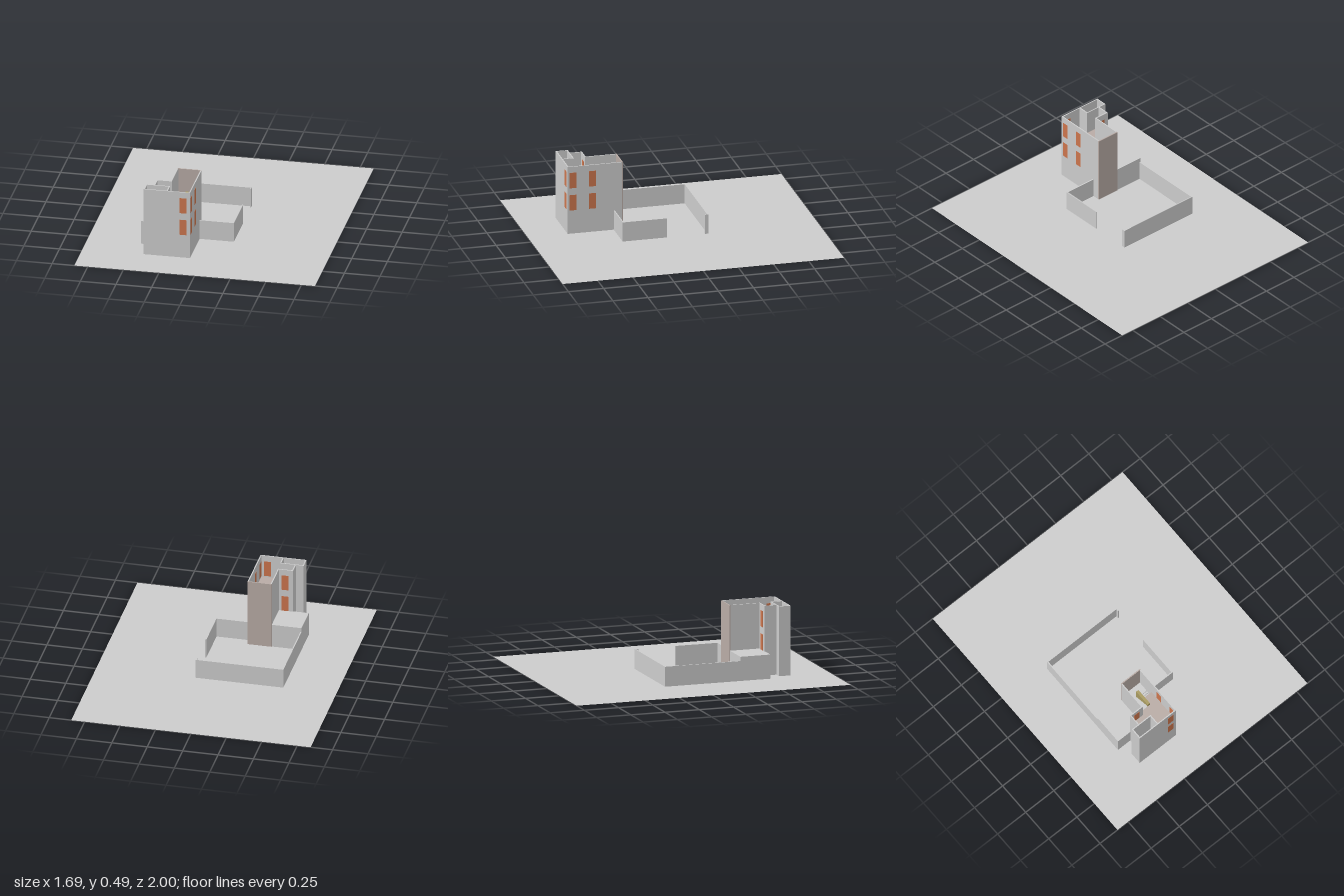
import * as THREE from 'three';

export function createModel() {
  const model = new THREE.Group();
  const grey = new THREE.MeshStandardMaterial({ color: 0xcccccc });
  const warm = new THREE.MeshStandardMaterial({ color: 0xb8aba5 });
  const orange = new THREE.MeshStandardMaterial({ color: 0xcc754d });
  const olive = new THREE.MeshStandardMaterial({ color: 0xa89a60 });

  // Box given by its limits on each axis
  const box = (parent, name, [x0, x1], [y0, y1], [z0, z1], material = grey) => {
    const mesh = new THREE.Mesh(new THREE.BoxGeometry(x1 - x0, y1 - y0, z1 - z0), material);
    mesh.position.set((x0 + x1) / 2, (y0 + y1) / 2, (z0 + z1) / 2);
    mesh.name = name;
    parent.add(mesh);
    return mesh;
  };
  const group = (name) => {
    const g = new THREE.Group();
    g.name = name;
    model.add(g);
    return g;
  };

  // Plot of land
  const ground = new THREE.Mesh(
    new THREE.PlaneGeometry(1.69, 2).rotateX(-Math.PI / 2),
    new THREE.MeshStandardMaterial({ color: 0xcccccc, side: THREE.DoubleSide })
  );
  ground.name = 'ground';
  model.add(ground);

  // Low walls round the yard, with a gateway on the +x side
  const yard = group('yardWalls');
  const low = [0, 0.14];
  const t = 0.008;
  box(yard, 'sideWall', [-0.47, -0.47 + t], low, [-0.22, 0.33]);
  box(yard, 'rearWall', [-0.47, 0.15], low, [-0.22, -0.22 + t]);
  box(yard, 'gateReturn', [0.15 - t, 0.15], low, [-0.22 + t, -0.195]);
  box(yard, 'gateWall', [0.15 - t, 0.15], low, [0.075, 0.39]);
  box(yard, 'frontYardWall', [-0.09, 0.15 - t], low, [0.39 - t, 0.39]);

  // Low annex beside the tower
  box(model, 'annex', [-0.47, -0.26], [0, 0.17], [0.33, 0.55]);

  // Open-topped tower walls
  const tower = group('towerWalls');
  const tall = [0, 0.49];
  const w = 0.008;
  box(tower, 'frontWall', [-0.415, -0.09], tall, [0.718 - w, 0.718]);
  box(tower, 'eastWall', [-0.09 - w, -0.09], tall, [0.325 + w, 0.718 - w]);
  box(tower, 'backWall', [-0.26, -0.09], tall, [0.325, 0.325 + w], warm);
  box(tower, 'stairWall', [-0.26, -0.26 + w], tall, [0.325 + w, 0.545 + w]);
  box(tower, 'stepWall', [-0.36, -0.26], tall, [0.545, 0.545 + w]);
  box(tower, 'lobbyWall', [-0.36, -0.36 + w], tall, [0.545 + w, 0.632]);
  box(tower, 'shaftBackWall', [-0.415, -0.248], tall, [0.632, 0.632 + w]);
  box(tower, 'shaftOuterWall', [-0.415, -0.415 + w], tall, [0.632 + w, 0.718 - w]);
  box(tower, 'shaftInnerWall', [-0.248 - w, -0.248], tall, [0.632 + w, 0.718 - w]);

  // Windows on two storeys, showing on both faces of their wall
  const windows = group('windows');
  const e = 0.001;
  for (const y of [[0.17, 0.283], [0.333, 0.446]]) {
    box(windows, 'frontWindow', [-0.165, -0.115], y, [0.718 - w - e, 0.718 + e], orange);
    box(windows, 'stepWindow', [-0.328, -0.28], y, [0.545 - e, 0.545 + w + e], orange);
    for (const z of [[0.517, 0.565], [0.655, 0.704]]) {
      box(windows, 'eastWindow', [-0.09 - w - e, -0.09 + e], y, z, orange);
    }
  }

  // Floors and dog-leg stairs of each storey
  const inside = group('floorsAndStairs');
  const storey = 0.162;
  const slab = 0.008;
  const steps = 9;
  const rise = storey / 2 / steps;
  const tread = 0.13 / steps;
  for (let level = 0; level < 2; level++) {
    const base = level * storey;
    const top = base + storey;
    const y = [top - slab, top];
    box(inside, 'mainFloor', [-0.248, -0.098], y, [0.525, 0.71], warm);
    box(inside, 'floorEdge', [-0.165, -0.098], y, [0.46, 0.525], warm);
    box(inside, 'lobbyFloor', [-0.352, -0.248], y, [0.553, 0.632], warm);
    const mid = base + storey / 2;
    box(inside, 'landing', [-0.252, -0.098], [mid - slab, mid], [0.333, 0.395]);
    for (let i = 0; i < steps; i++) {
      const up = base + (i + 1) * rise;
      const zLow = 0.525 - i * tread;
      box(inside, 'lowerStep', [-0.165, -0.098], [up - rise, up], [zLow - tread, zLow]);
      const zHigh = 0.395 + i * tread;
      box(inside, 'upperStep', [-0.252, -0.185], [mid + i * rise, mid + (i + 1) * rise], [zHigh, zHigh + tread]);
    }
  }
  box(inside, 'stairSpine', [-0.185, -0.165], [0, 2 * storey + 0.03], [0.4, 0.525], olive);

  return model;
}
